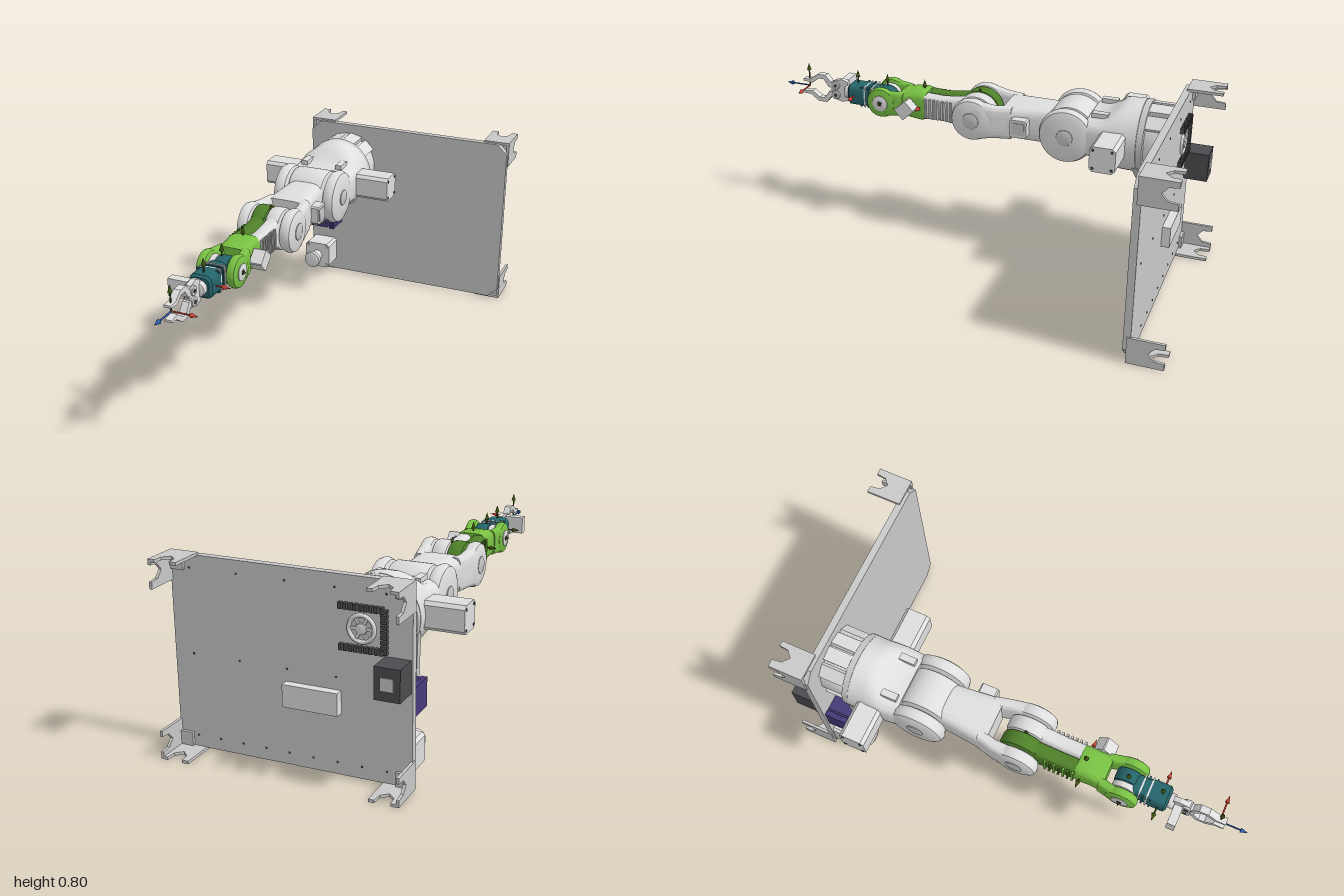
import * as THREE from 'three';
import { toCreasedNormals } from 'three/addons/utils/BufferGeometryUtils.js';

const mat = (name, color) => Object.assign(new THREE.MeshStandardMaterial({ color }), { name });
const light = mat('light grey', 0xdedede), grey = mat('plate grey', 0xc8c8c8), dark = mat('charcoal', 0x4c4c50);
const purple = mat('purple', 0x463a78), green = mat('green', 0x78c143), moss = mat('moss green', 0x4f8029);
const teal = mat('teal', 0x25656b), red = mat('red', 0xcf4436), blue = mat('blue', 0x2a5caa), olive = mat('olive', 0x3c5212);

function add(parent, name, geo, material, x = 0, y = 0, z = 0) {
  const m = new THREE.Mesh(geo, material);
  m.name = name;
  m.position.set(x, y, z);
  parent.add(m);
  return m;
}
const box = (p, name, m, w, h, d, x, y, z) => add(p, name, new THREE.BoxGeometry(w, h, d), m, x, y, z);

// round disc with bevelled rims, lying along the x or z axis
function disc(p, name, m, axis, r, len, x, y, z, bevel = 0.004) {
  const h = len / 2, b = bevel, k = b * 0.3;
  const pts = [[0, -h], [r - b, -h], [r - k, -h + k], [r, -h + b], [r, h - b], [r - k, h - k], [r - b, h], [0, h]];
  let g = new THREE.LatheGeometry(pts.map(a => new THREE.Vector2(...a)), 40);
  if (axis === 'x') g.rotateZ(-Math.PI / 2); else g.rotateX(Math.PI / 2);
  return add(p, name, toCreasedNormals(g, 0.6), m, x, y, z);
}

// skin over rounded sections along z: [z, centre x, half width, half height, squareness]
function loft(p, name, m, sections) {
  const N = 40, pos = [], idx = [];
  const pw = (v, e) => Math.sign(v) * Math.pow(Math.abs(v), e);
  for (const [z, cx, hw, hh, n = 4] of sections)
    for (let j = 0; j < N; j++) {
      const a = j / N * Math.PI * 2;
      pos.push(cx + hw * pw(Math.cos(a), 2 / n), hh * pw(Math.sin(a), 2 / n), z);
    }
  const last = sections.length - 1, c0 = pos.length / 3;
  for (const s of [sections[0], sections[last]]) pos.push(s[1], 0, s[0]);
  for (let j = 0; j < N; j++) {
    const k = (j + 1) % N;
    for (let i = 0; i < last; i++) {
      const a = i * N + j, b = i * N + k;
      idx.push(a, b, a + N, b, b + N, a + N);
    }
    idx.push(c0, k, j, c0 + 1, last * N + j, last * N + k);
  }
  const g = new THREE.BufferGeometry();
  g.setAttribute('position', new THREE.Float32BufferAttribute(pos, 3));
  g.setIndex(idx);
  return add(p, name, toCreasedNormals(g, 0.7), m);
}

const outline = pts => new THREE.Shape(pts.map(a => new THREE.Vector2(...a)));
const slab = (shape, depth) => new THREE.ExtrudeGeometry(shape, { depth, bevelEnabled: false, curveSegments: 16 }).translate(0, 0, -depth / 2);
// outline given as (z, y), extruded along x
const sideSlab = (shape, depth) => slab(shape, depth).rotateY(-Math.PI / 2);
const chamfered = (w, h, c) => outline([[-w + c, -h], [w - c, -h], [w, -h + c], [w, h - c], [w - c, h], [-w + c, h], [-w, h - c], [-w, -h + c]]);

// frame marker arrow
function arrow(p, m, dir, x, y, z, len = 0.11) {
  const g = new THREE.Group();
  g.name = 'axisArrow';
  add(g, 'arrowShaft', new THREE.CylinderGeometry(0.0035, 0.0035, len - 0.03, 8), m, 0, (len - 0.03) / 2, 0);
  add(g, 'arrowHead', new THREE.ConeGeometry(0.01, 0.032, 12), m, 0, len - 0.016, 0);
  g.position.set(x, y, z);
  g.quaternion.setFromUnitVectors(new THREE.Vector3(0, 1, 0), new THREE.Vector3(...dir));
  p.add(g);
}

function buildBase(root) {
  // mounting plate
  add(root, 'mountingPlate', slab(chamfered(0.49, 0.39, 0.045), 0.03), grey, 0.05, 0.402, -0.85);
  for (let i = 0; i < 9; i++)
    for (const y of [0.06, 0.4, 0.74])
      if (y < 0.1 || i % 2 === 0) disc(root, 'plateBolt', dark, 'z', 0.004, 0.004, 0.46 - i * 0.1, y, -0.866, 0.001);
  // corner feet: two notched walls each
  const wall = outline([[0, 0], [0.115, 0], [0.115, 0.15], [0.092, 0.15], [0.088, 0.11], [0.06, 0.085], [0.032, 0.11], [0.028, 0.15], [0, 0.15]]);
  for (const sx of [-1, 1]) for (const sy of [-1, 1]) {
    const foot = new THREE.Group();
    foot.name = 'cornerFoot';
    const a = add(foot, 'footWall', slab(wall, 0.012), grey, 0.05 + sx * (sx > 0 ? 0.49 : 0.375), 0.401 + sy * 0.393, -0.85);
    a.rotation.x = -Math.PI / 2;
    if (sx > 0) a.position.x -= 0.115;
    const b = add(foot, 'footSideWall', slab(wall, 0.012).rotateX(-Math.PI / 2).rotateZ(Math.PI / 2), grey,
      0.05 + sx * 0.489, sy > 0 ? 0.685 : 0.003, -0.85);
    if (sx < 0) a.position.x = -0.44;
    box(foot, 'footWeb', grey, 0.06, 0.06, 0.012, 0.05 + sx * 0.46, 0.401 + sy * 0.36, -0.872);
    root.add(foot);
  }
  // electronics on the back
  box(root, 'powerSupply', dark, 0.1, 0.125, 0.1, -0.385, 0.447, -0.917);
  box(root, 'powerSocket', grey, 0.05, 0.05, 0.006, -0.385, 0.447, -0.968);
  box(root, 'controlBox', light, 0.225, 0.09, 0.035, -0.047, 0.305, -0.882);
  for (let i = 0; i < 9; i++) {
    for (const y of [0.68, 0.525]) box(root, 'terminal', dark, 0.013, 0.024, 0.018, -0.325 + i * 0.02, y, -0.874);
    box(root, 'terminal', dark, 0.024, 0.013, 0.018, -0.335, 0.525 + i * 0.019, -0.874);
  }
  add(root, 'rearRing', new THREE.TorusGeometry(0.05, 0.008, 10, 32), light, -0.245, 0.6, -0.868);
  disc(root, 'rearHub', light, 'z', 0.022, 0.012, -0.245, 0.6, -0.87);
  for (let i = 0; i < 3; i++) box(root, 'rearSpoke', light, 0.1, 0.012, 0.008, -0.245, 0.6, -0.868).rotation.z = i * Math.PI / 3;
  // belt motor
  add(root, 'beltMotor', slab(chamfered(0.058, 0.053, 0.012), 0.11), purple, -0.358, 0.337, -0.775);
  for (const s of [-1, 1]) {
    for (const e of [-1, 1]) box(root, 'motorBracketBar', purple, 0.007, 0.115, 0.11, -0.358 + s * (0.068 + e * 0.007), 0.337, -0.775);
    for (const e of [-1, 1]) {
      box(root, 'motorBracketEnd', purple, 0.024, 0.012, 0.11, -0.358 + s * 0.067, 0.337 + e * 0.051, -0.775);
      disc(root, 'motorBolt', dark, 'z', 0.007, 0.008, -0.358 + s * 0.032, 0.337 + e * 0.032, -0.718, 0.001);
    }
  }
  disc(root, 'beltPulley', light, 'z', 0.031, 0.04, -0.358, 0.337, -0.695);
  disc(root, 'pulleyBolt', dark, 'z', 0.008, 0.006, -0.358, 0.337, -0.673, 0.001);
  for (const [x0, y0, x1, y1] of [[-0.393, 0.55, -0.386, 0.34], [-0.13, 0.495, -0.338, 0.312]]) {
    const b = box(root, 'belt', grey, 0.005, Math.hypot(x1 - x0, y1 - y0), 0.03, (x0 + x1) / 2, (y0 + y1) / 2, -0.695);
    b.rotation.z = Math.atan2(y1 - y0, x1 - x0) + Math.PI / 2;
  }
  // idle motor
  add(root, 'spareMotor', slab(chamfered(0.063, 0.063, 0.012), 0.1), light, -0.373, 0.118, -0.785);
  disc(root, 'spareMotorNeck', light, 'z', 0.025, 0.05, -0.373, 0.118, -0.715);
  disc(root, 'spareMotorKnob', light, 'z', 0.04, 0.022, -0.373, 0.118, -0.676);
  for (const i of [-1, 1]) for (const j of [-1, 1]) disc(root, 'spareMotorBolt', grey, 'z', 0.008, 0.008, -0.373 + i * 0.05, 0.118 + j * 0.05, -0.733, 0.001);
}

function buildShoulder(arm) {
  // turntable
  disc(arm, 'turntableCore', light, 'z', 0.132, 0.13, 0, 0, -0.775);
  disc(arm, 'turntableRing', grey, 'z', 0.157, 0.028, 0, 0, -0.712);
  for (const a of [0.25, 0.42, 0.58, 0.75, 1.25, 1.42, 1.58, 1.75]) {
    const s = box(arm, 'turntablePost', light, 0.024, 0.06, 0.11, Math.cos(a * Math.PI) * 0.137, Math.sin(a * Math.PI) * 0.137, -0.78);
    s.rotation.z = a * Math.PI;
  }
  loft(arm, 'shoulderHousing', light, [[-0.698, 0, 0.157, 0.157, 2], [-0.64, 0, 0.157, 0.155, 2], [-0.61, 0, 0.157, 0.147, 2.3],
    [-0.575, 0, 0.157, 0.112, 3], [-0.535, 0, 0.155, 0.092, 4], [-0.48, 0, 0.15, 0.088, 4]]);
  for (let i = 0; i < 12; i++) {
    const a = i * Math.PI / 6;
    disc(arm, 'housingBolt', dark, 'z', 0.006, 0.004, Math.cos(a) * 0.143, Math.sin(a) * 0.143, -0.638, 0.001);
  }
  // side motors, cheeks and hub
  for (const s of [-1, 1]) {
    add(arm, 'shoulderMotor', sideSlab(chamfered(0.055, 0.056, 0.014), 0.19), light, s * 0.213, 0, -0.6);
    for (const i of [-1, 1]) for (const j of [-1, 1]) disc(arm, 'motorBolt', dark, 'x', 0.006, 0.004, s * 0.309, i * 0.04, -0.6 + j * 0.04, 0.001);
    disc(arm, 'shoulderCheek', light, 'x', 0.12, 0.064, s * 0.12, 0, -0.395, 0.028);
    disc(arm, 'shoulderCap', grey, 'x', 0.036, 0.008, s * 0.152, 0, -0.395, 0.002);
    for (const t of [-1, 1]) box(arm, 'cheekClamp', light, 0.03, 0.02, 0.07, s * 0.085, t * 0.1, -0.53);
  }
  disc(arm, 'shoulderHub', light, 'x', 0.114, 0.168, 0, 0, -0.395, 0.015);
}

function buildArm(arm) {
  // upper arm with elbow fork
  loft(arm, 'upperArm', light, [[-0.37, 0, 0.083, 0.08], [-0.27, 0, 0.09, 0.081], [-0.18, 0, 0.1, 0.077], [-0.1, 0, 0.11, 0.073]]);
  for (const s of [-1, 1]) {
    loft(arm, 'elbowForkArm', light, [[-0.14, s * 0.075, 0.028, 0.073], [-0.07, s * 0.093, 0.027, 0.072], [0, s * 0.1, 0.03, 0.083], [0.04, s * 0.1, 0.028, 0.085]]);
    disc(arm, 'elbowForkHub', light, 'x', 0.095, 0.058, s * 0.099, 0, 0.035, 0.022);
    disc(arm, 'elbowCap', grey, 'x', 0.037, 0.008, s * 0.128, 0, 0.035, 0.002);
  }
  add(arm, 'elbowMotor', sideSlab(chamfered(0.038, 0.04, 0.006), 0.05), light, 0.112, 0, -0.185);
  box(arm, 'elbowMotorLabel', grey, 0.004, 0.055, 0.055, 0.138, 0, -0.185);

  // forearm in two half shells with ribs
  [[-1, moss, green], [1, light, grey]].forEach(([s, m, rib]) => {
    disc(arm, 'forearmHub', m, 'x', 0.092, 0.066, s * 0.034, 0, 0.035, 0.012);
    loft(arm, 'forearmShell', m, [[0.03, s * 0.034, 0.033, 0.08], [0.12, s * 0.034, 0.034, 0.063], [0.2, s * 0.033, 0.033, 0.054], [0.29, s * 0.033, 0.033, 0.058]]);
    for (let i = 0; i < 7; i++) box(arm, 'forearmRib', i % 2 ? m : rib, 0.012, 0.09, 0.009, s * 0.069, 0, 0.15 + i * 0.02);
  });

  // wrist with fork
  loft(arm, 'wristBody', green, [[0.275, 0, 0.066, 0.064], [0.3, 0, 0.068, 0.07], [0.34, 0, 0.066, 0.066], [0.4, 0, 0.072, 0.054]]);
  for (const s of [-1, 1]) {
    loft(arm, 'wristForkArm', green, [[0.38, s * 0.052, 0.022, 0.054], [0.44, s * 0.066, 0.02, 0.057], [0.49, s * 0.067, 0.02, 0.062]]);
    disc(arm, 'wristForkHub', green, 'x', 0.069, 0.042, s * 0.067, 0, 0.483, 0.016);
    disc(arm, 'wristCap', light, 'x', 0.036, 0.008, s * 0.088, 0, 0.483, 0.002);
    disc(arm, 'wristCapCentre', dark, 'x', 0.011, 0.008, s * 0.091, 0, 0.483, 0.002);
  }
  const wm = add(arm, 'wristMotor', sideSlab(chamfered(0.035, 0.03, 0.004), 0.055), light, 0.1, 0, 0.35);
  wm.rotation.x = 0.75;

  // hand link
  disc(arm, 'handHub', teal, 'x', 0.056, 0.058, 0.014, 0, 0.483, 0.008);
  disc(arm, 'handHubCover', light, 'x', 0.054, 0.028, -0.03, 0, 0.483, 0.006);
  loft(arm, 'handLink', teal, [[0.48, 0, 0.043, 0.045], [0.56, 0, 0.045, 0.045], [0.6, 0, 0.05, 0.049], [0.655, 0, 0.05, 0.049], [0.665, 0, 0.04, 0.04]]);
  for (let i = 0; i < 4; i++) box(arm, 'handRib', i % 2 ? teal : light, 0.096, 0.095, 0.007, 0, 0, 0.545 + i * 0.017);

  // gripper
  disc(arm, 'gripperFlange', light, 'z', 0.032, 0.03, 0, 0, 0.675);
  box(arm, 'gripperServo', light, 0.085, 0.075, 0.036, -0.062, 0.008, 0.708);
  const palm = outline([[0.68, -0.045], [0.71, -0.055], [0.75, -0.045], [0.765, 0], [0.75, 0.045], [0.71, 0.055], [0.68, 0.045]]);
  const finger = [[0.735, 0.035], [0.765, 0.036], [0.79, 0.066], [0.83, 0.066], [0.87, 0.037], [0.905, 0.035], [0.905, 0.025],
    [0.86, 0.02], [0.825, 0.046], [0.8, 0.046], [0.775, 0.01], [0.735, 0.012]];
  add(arm, 'gripperPalm', sideSlab(palm, 0.022), light);
  for (const s of [-1, 1]) {
    add(arm, 'gripperFinger', sideSlab(outline(finger.map(([z, y]) => [z, s * y])), 0.03), light);
    disc(arm, 'fingerGear', grey, 'x', 0.02, 0.042, 0, s * 0.023, 0.74, 0.002);
    disc(arm, 'fingerPivot', dark, 'x', 0.008, 0.048, 0, s * 0.023, 0.74, 0.002);
  }

  // frame markers at the joints
  for (const z of [0.037, 0.3, 0.483, 0.63, 0.88]) arrow(arm, olive, [0, 1, 0], 0, 0, z);
  for (const z of [0.3, 0.63, 0.88]) arrow(arm, red, [1, 0, 0], 0, 0, z, 0.115);
  for (const z of [0.3, 0.483, 0.63]) arrow(arm, olive, [-1, 0, 0], 0, 0, z);
  arrow(arm, olive, [1, 0, 0], 0, 0, 0.483);
  arrow(arm, olive, [0, -1, 0], 0, 0, -0.12, 0.1);
  arrow(arm, blue, [0, 0, 1], 0, 0, 0.88, 0.12);
}

export function createModel() {
  const root = new THREE.Group();
  root.name = 'robotArm';
  buildBase(root);
  const arm = new THREE.Group();
  arm.name = 'arm';
  arm.position.set(-0.245, 0.6, 0);
  buildShoulder(arm);
  buildArm(arm);
  root.add(arm);
  return root;
}
